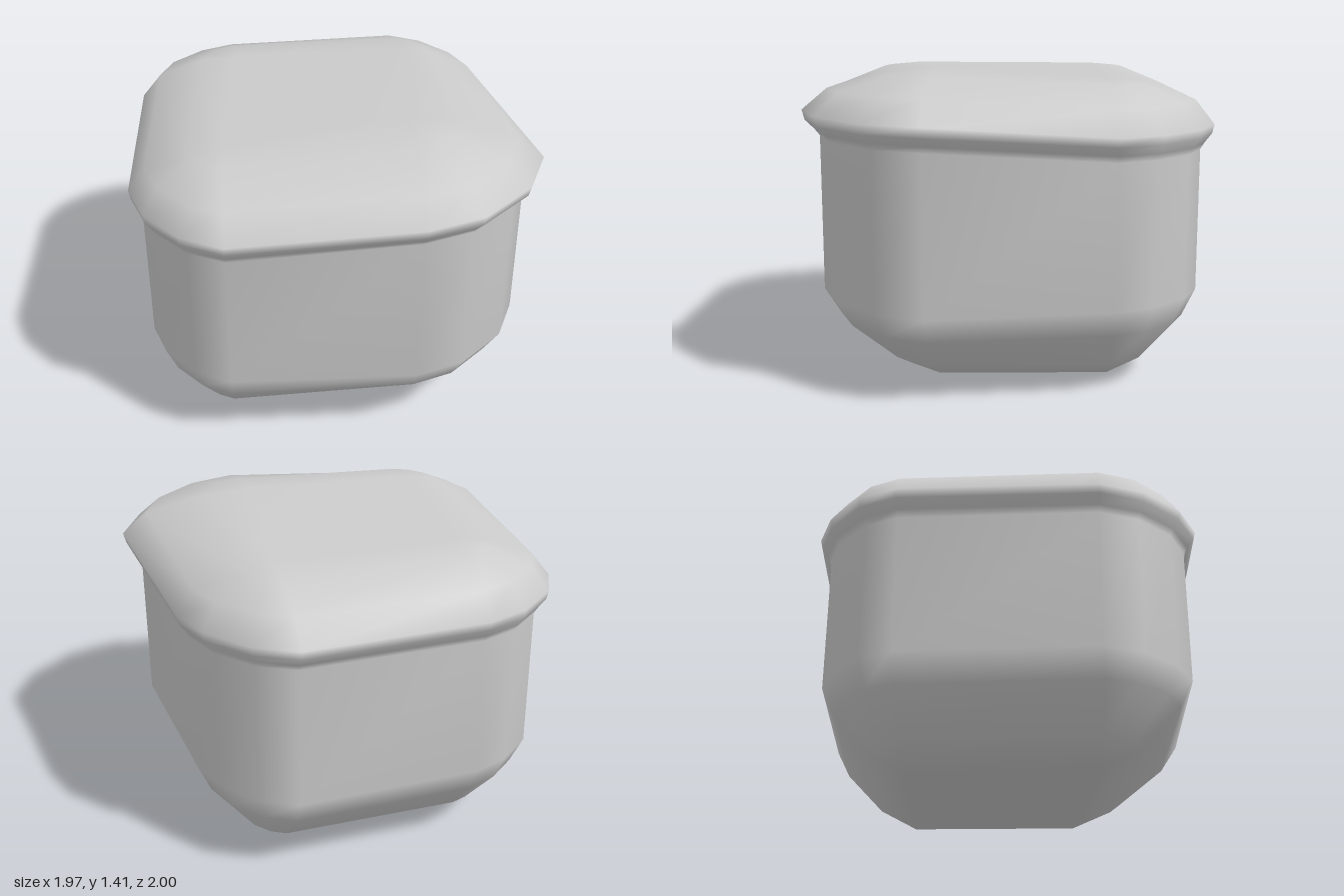
import * as THREE from 'three';

// Each corner: centre the rounding shrinks towards, and its arc at the rim [x, z]
const corners = [
  { name: 'back', c: [-0.04, -0.59], arc: [[-0.39, -0.89], [-0.23, -0.98], [0, -1], [0.19, -0.95]] },
  { name: 'right', c: [0.61, -0.13], arc: [[0.87, -0.51], [0.96, -0.33], [0.98, -0.09], [0.93, 0.11]] },
  { name: 'front', c: [0.1, 0.44], arc: [[0.54, 0.84], [0.31, 0.97], [0, 1], [-0.25, 0.92]] },
  { name: 'left', c: [-0.61, 0.05], arc: [[-0.88, 0.41], [-0.97, 0.23], [-0.99, 0], [-0.93, -0.2]] },
];

// Rings from bottom to top: [corner spread, height, extra height at the front corner]
const rings = [
  [0.37, 0.11, 0], [0.74, 0.29, 0], [0.87, 0.41, 0],      // rounded base, wall
  [0.87, 1.05, 0.06], [0.91, 1.08, 0.06],                 // neck
  [0.98, 1.12, 0.06], [1, 1.16, 0.065],                   // lip
  [0.81, 1.27, 0.05], [0.37, 1.348, 0.04],                // domed top
];

function blockGeometry() {
  const pos = [], index = [], n = 16;
  const lift = (corner, amount) => (corner.name === 'front' ? amount : 0);

  for (const [t, y, rise] of rings) {
    for (const corner of corners) {
      const [cx, cz] = corner.c;
      for (const [x, z] of corner.arc) {
        pos.push(cx + (x - cx) * t, y + lift(corner, rise), cz + (z - cz) * t);
      }
    }
  }
  for (let j = 0; j < rings.length - 1; j++) {
    for (let k = 0; k < n; k++) {
      const a = j * n + k, b = j * n + (k + 1) % n;
      index.push(a, a + n, b, b, a + n, b + n);
    }
  }

  // Flat four-cornered faces closing the bottom and the top
  const bottom = pos.length / 3, top = bottom + 4;
  for (const s of corners) pos.push(s.c[0], 0.02 - lift(s, 0.02), s.c[1]);
  for (const s of corners) pos.push(s.c[0], 1.365 + lift(s, 0.045), s.c[1]);
  index.push(bottom, bottom + 1, bottom + 3, bottom + 1, bottom + 2, bottom + 3);
  index.push(top + 3, top + 2, top + 1, top + 3, top + 1, top);

  // Corner fans and side strips joining those faces to the nearest ring
  const last = (rings.length - 1) * n;
  for (let k = 0; k < n; k++) {
    const next = (k + 1) % n, i = Math.floor(k / 4), ni = Math.floor(next / 4);
    index.push(bottom + i, k, next);
    index.push(last + k, top + i, last + next);
    if (i !== ni) {
      index.push(bottom + i, next, bottom + ni);
      index.push(last + next, top + i, top + ni);
    }
  }

  const g = new THREE.BufferGeometry();
  g.setAttribute('position', new THREE.Float32BufferAttribute(pos, 3));
  g.setIndex(index);
  g.computeVertexNormals();
  return g;
}

export function createModel() {
  const group = new THREE.Group();
  group.name = 'roundedBlock';
  const block = new THREE.Mesh(blockGeometry(), new THREE.MeshStandardMaterial({ color: 0xcccccc }));
  block.name = 'lippedBlock';
  group.add(block);
  return group;
}
